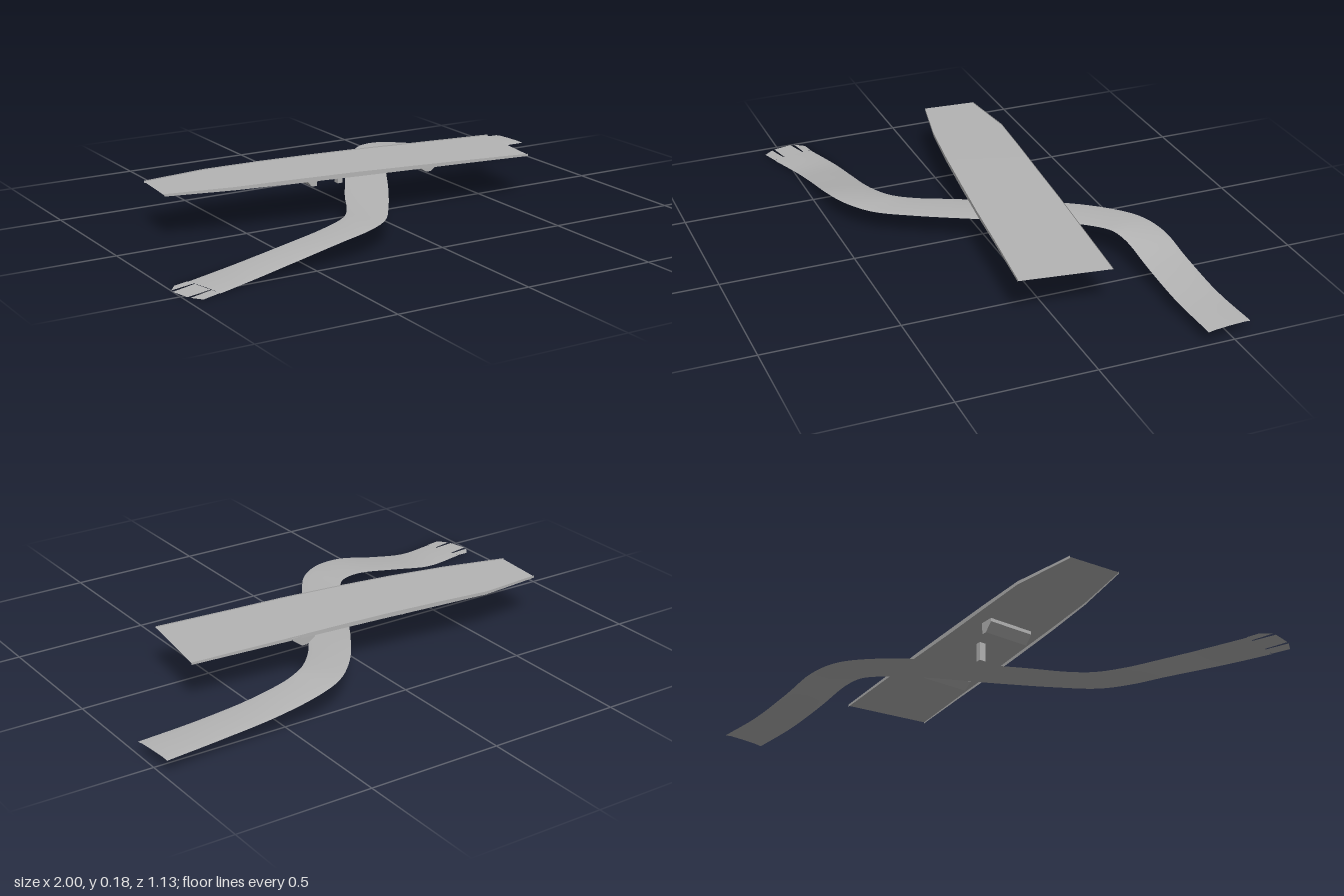
import * as THREE from 'three';

const grey = new THREE.MeshStandardMaterial({ color: 0xb4b4b4, side: THREE.DoubleSide });
grey.name = 'plain grey';

const V = (x, y, z) => new THREE.Vector3(x, y, z);

// Sheet through rows of points; rows run along +x, points in a row run toward +z
function sheet(name, rows) {
  const n = rows[0].length, index = [];
  for (let i = 0; i < rows.length - 1; i++) {
    for (let j = 0; j < n - 1; j++) {
      const a = i * n + j, b = a + 1, c = a + n, d = c + 1;
      index.push(a, b, c, b, d, c);
    }
  }
  const g = new THREE.BufferGeometry().setFromPoints(rows.flat());
  g.setIndex(index);
  g.computeVertexNormals();
  const mesh = new THREE.Mesh(g, grey);
  mesh.name = name;
  return mesh;
}

// Winding road: [back edge x, z, front edge x, z, height]
function makeRoad() {
  const stations = [
    [-0.92, 0.383, -0.88, 0.543, 0.006], [-0.73, 0.335, -0.72, 0.50, 0.018],
    [-0.56, 0.325, -0.555, 0.485, 0.047], [-0.37, 0.31, -0.39, 0.478, 0.08],
    [-0.26, 0.265, -0.26, 0.445, 0.092], [-0.20, 0.19, -0.155, 0.375, 0.094],
    [-0.13, 0.06, -0.06, 0.245, 0.098], [-0.04, -0.09, 0.055, 0.06, 0.105],
    [0.05, -0.235, 0.23, -0.235, 0.116], [0.165, -0.395, 0.325, -0.34, 0.119],
    [0.28, -0.50, 0.36, -0.362, 0.117], [0.395, -0.54, 0.42, -0.38, 0.106],
    [0.56, -0.547, 0.57, -0.387, 0.079], [0.78, -0.55, 0.78, -0.39, 0.059],
    [0.985, -0.565, 1.0, -0.40, 0.053],
  ];
  const back = new THREE.CatmullRomCurve3(stations.map(s => V(s[0], s[4], s[1])));
  const front = new THREE.CatmullRomCurve3(stations.map(s => V(s[2], s[4], s[3])));
  // Slightly turned-down edges
  const across = [[0, -0.003], [0.15, 0], [0.5, 0.001], [0.85, 0], [1, -0.003]];
  const rows = [];
  for (let i = 0; i <= 70; i++) {
    const a = back.getPoint(i / 70), b = front.getPoint(i / 70);
    rows.push(across.map(([t, dy]) => a.clone().lerp(b, t).add(V(0, dy, 0))));
  }
  return sheet('windingRoad', rows);
}

// Split end of the road: three tongues with narrow slits between
function makeTongues() {
  const group = new THREE.Group();
  group.name = 'roadEndTongues';
  const tongues = [
    [[-0.97, 0.39], [-0.998, 0.428], [-0.92, 0.383], [-0.91, 0.413]],
    [[-1.0, 0.443], [-0.983, 0.515], [-0.91, 0.418], [-0.891, 0.497]],
    [[-0.978, 0.526], [-0.95, 0.562], [-0.89, 0.502], [-0.88, 0.543]],
  ];
  tongues.forEach(([a, b, c, d]) => group.add(sheet('roadEndTongue', [
    [V(a[0], 0.001, a[1]), V(b[0], 0.001, b[1])],
    [V(c[0], 0.005, c[1]), V(d[0], 0.005, d[1])],
  ])));
  return group;
}

// Overpass: [back edge x, z, front edge x, z, rim height, skirt bottom]
function makeDeck() {
  const group = new THREE.Group();
  group.name = 'overpass';
  const st = [
    [-0.77, -0.265, -0.785, -0.065, 0.172, 0.163],
    [-0.52, -0.29, -0.54, -0.01, 0.175, 0.163],
    [-0.30, -0.273, -0.31, 0.025, 0.179, 0.163],
    [-0.075, -0.255, -0.075, 0.055, 0.180, 0.163],
    [0.15, -0.24, 0.14, 0.08, 0.178, 0.163],
    [0.35, -0.225, 0.35, 0.10, 0.174, 0.162],
    [0.68, -0.20, 0.635, 0.13, 0.169, 0.160],
  ];
  group.add(sheet('overpassDeck', st.map(s =>
    [V(s[0], s[4] - 0.004, s[1]), V(s[2], s[4] - 0.004, s[3])])));
  group.add(sheet('backSkirt', st.map(s => [V(s[0], s[5], s[1]), V(s[0], s[4], s[1])])));
  group.add(sheet('frontSkirt', st.map(s => [V(s[2], s[4], s[3]), V(s[2], s[5], s[3])])));
  return group;
}

// Wedge-shaped crossbeam under the deck; profile in x and y, extruded along z
function makeBeam(profile, z0, z1) {
  const shape = new THREE.Shape(profile.map(p => new THREE.Vector2(...p)));
  const g = new THREE.ExtrudeGeometry(shape, { depth: z1 - z0, bevelEnabled: false });
  const mesh = new THREE.Mesh(g, grey);
  mesh.name = 'crossbeam';
  mesh.position.z = z0;
  // Beam follows the slight skew of the deck
  return mesh;
}

export function createModel() {
  const model = new THREE.Group();
  model.name = 'roadOverpass';
  model.add(makeRoad(), makeTongues(), makeDeck());
  model.add(makeBeam([[-0.25, 0.173], [-0.25, 0.16], [-0.22, 0.128], [-0.2, 0.128], [-0.195, 0.173]], -0.2, -0.02));
  model.add(makeBeam([[0.2, 0.172], [0.2, 0.157], [0.235, 0.134], [0.255, 0.134], [0.295, 0.164], [0.295, 0.17]], -0.232, 0.04));

  // Short post between road and deck
  const post = new THREE.Mesh(new THREE.BoxGeometry(0.02, 0.072, 0.024), grey);
  post.name = 'post';
  post.position.set(-0.06, 0.138, -0.103);
  model.add(post);
  return model;
}
